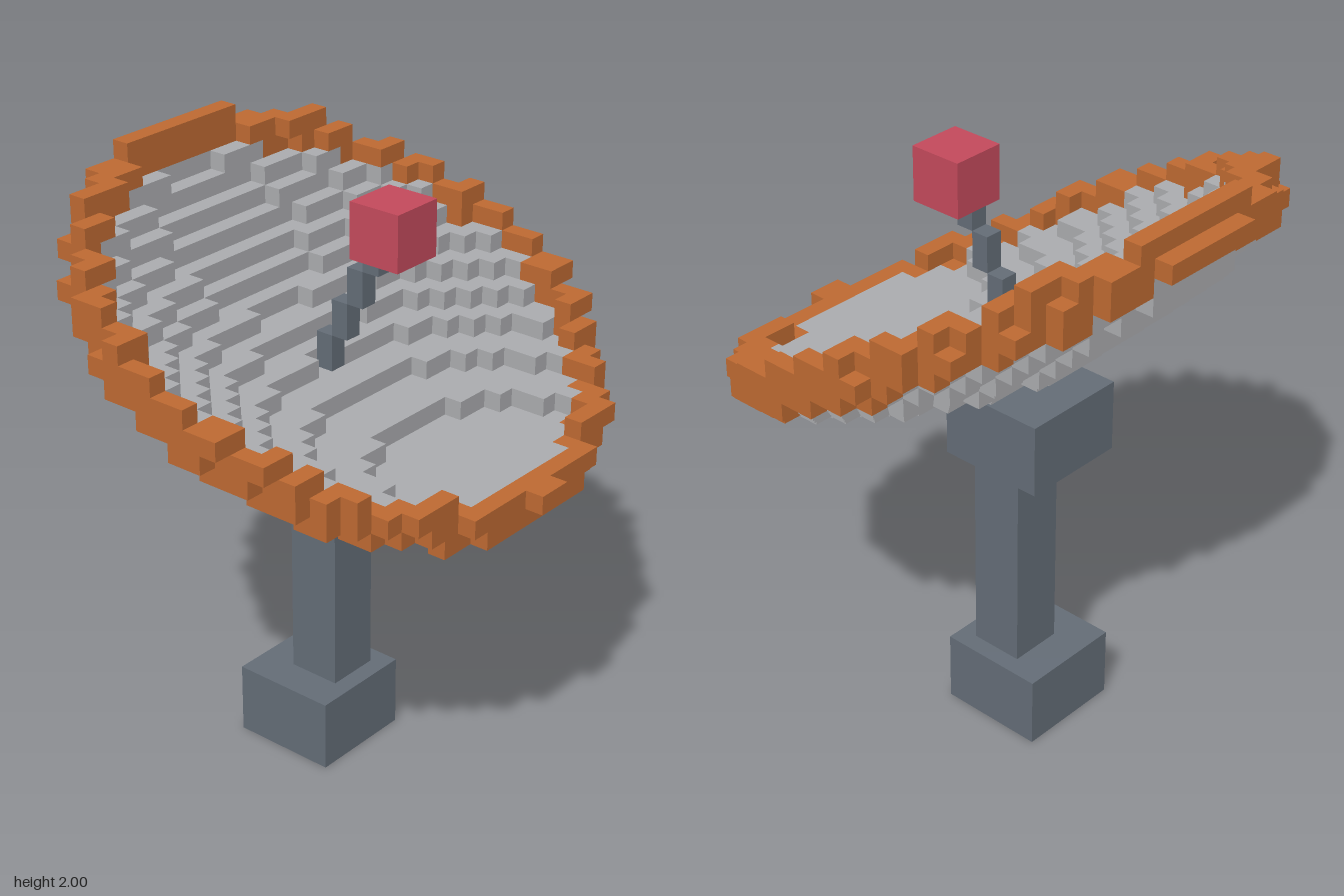
import * as THREE from 'three';

const S = 2 / 33; // edge of one block
const TILT = THREE.MathUtils.degToRad(28);
const CY = 25.5; // height of the rim centre, in blocks

const mat = (name, color) => {
  const m = new THREE.MeshStandardMaterial({ color, side: THREE.DoubleSide });
  m.name = name;
  return m;
};

export function createModel() {
  const slate = mat('slate', 0x646d77);
  const grey = mat('dish grey', 0xabacaf);
  const orange = mat('rim orange', 0xbe6a32);
  const red = mat('receiver red', 0xc44a5c);

  const cells = new Map(); // "x,y,z" -> part name
  const put = (part, x, y, z) => cells.set(`${x},${y},${z}`, part);
  const box = (part, x0, x1, y0, y1, z0, z1) => {
    for (let x = x0; x < x1; x++)
      for (let y = y0; y < y1; y++)
        for (let z = z0; z < z1; z++) put(part, x, y, z);
  };

  // Tilted paraboloid bowl with a band of blocks around its edge
  const c = Math.cos(TILT), s = Math.sin(TILT);
  for (let x = -14; x < 14; x++)
    for (let y = 17; y < 33; y++)
      for (let z = -14; z < 14; z++) {
        const px = x + 0.5, py = y + 0.5 - CY, pz = z + 0.5;
        const d = c * py + s * pz; // height above the rim plane
        const t = c * pz - s * py; // distance along the slope
        const bend = 0.0205 * (px * px + t * t);
        const r = Math.hypot(px, t + 0.1);
        if (r >= 12.75 && r <= 14) {
          if (d >= bend - 5.12 && d <= 0.85) put('dishRim', x, y, z);
        } else if (r < 12.75 && d >= bend - 4.97 && d <= bend - 3.36) {
          put('dishBowl', x, y, z);
        }
      }

  // Stand
  box('base', -3, 3, 0, 4, -5, 1);
  box('post', -1, 2, 4, 16, -3, 0);
  box('mountBlock', -3, 3, 16, 20, -5, 1);

  // Stepped arm and receiver in front of the bowl
  for (let i = 0; i < 4; i++) box('feedArm', 0, 1, 22 + 2 * i, Math.min(24 + 2 * i, 29), i - 2, i - 1);
  box('receiver', -1, 2, 29, 32, 1, 4);

  // Exposed block faces, gathered per part; the underside on the ground is open
  const faces = {};
  for (const [key, part] of cells) {
    const p = key.split(',').map(Number);
    const out = (faces[part] ??= []);
    for (let a = 0; a < 3; a++)
      for (const sign of [-1, 1]) {
        const n = [...p];
        n[a] += sign;
        if (n[1] < 0 || cells.has(n.join(','))) continue;
        const u = (a + 1) % 3, v = (a + 2) % 3;
        const corner = (i, j) => {
          const q = [...p];
          if (sign > 0) q[a] += 1;
          q[u] += i;
          q[v] += j;
          return q.map((k) => k * S);
        };
        const quad = [corner(0, 0), corner(1, 0), corner(1, 1), corner(0, 1)];
        if (sign < 0) quad.reverse();
        for (const k of [0, 1, 2, 0, 2, 3]) out.push(...quad[k]);
      }
  }

  const materials = {
    base: slate, post: slate, mountBlock: slate, feedArm: slate,
    dishBowl: grey, dishRim: orange, receiver: red,
  };
  const group = new THREE.Group();
  group.name = 'satelliteDish';
  for (const [part, positions] of Object.entries(faces)) {
    const geo = new THREE.BufferGeometry();
    geo.setAttribute('position', new THREE.Float32BufferAttribute(positions, 3));
    geo.computeVertexNormals();
    const mesh = new THREE.Mesh(geo, materials[part]);
    mesh.name = part;
    group.add(mesh);
  }
  return group;
}
